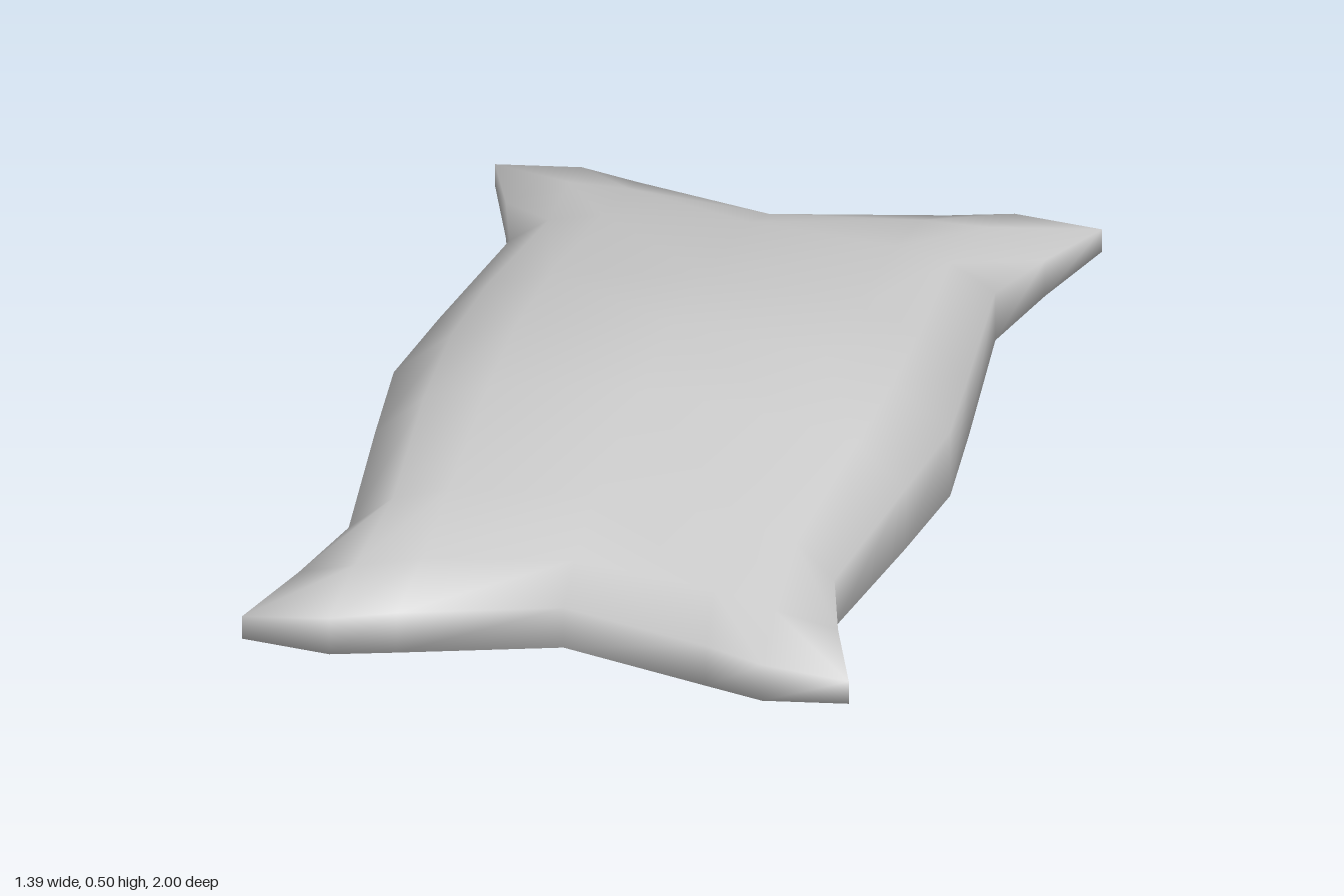
import * as THREE from 'three';

// One quarter of the pillow: rows run from the middle to the end, columns from the middle to the side.
const X = [
  [0, 0.35, 0.5, 0.63],
  [0, 0.345, 0.49, 0.6],
  [0, 0.33, 0.455, 0.55],
  [0, 0.33, 0.475, 0.61],
  [0, 0.35, 0.49, 0.687],
];
const Z = [
  [0, 0, 0, 0],
  [0.25, 0.25, 0.25, 0.25],
  [0.6, 0.6, 0.61, 0.63],
  [0.76, 0.81, 0.84, 0.81],
  [0.85, 0.945, 0.99, 0.992],
];
const TOP = [
  [0.278, 0.237, 0.19, 0.08],
  [0.26, 0.222, 0.175, 0.075],
  [0.19, 0.168, 0.135, 0.06],
  [0.118, 0.113, 0.095, 0.045],
  [0.05, 0.05, 0.045, 0.028],
];
const BOTTOM = [
  [0.205, 0.205, 0.205, 0.08],
  [0.198, 0.198, 0.195, 0.075],
  [0.135, 0.135, 0.13, 0.06],
  [0.1, 0.1, 0.09, 0.045],
  [0.05, 0.05, 0.045, 0.028],
];
const COLS = 3, ROWS = 4, W = 2 * COLS + 1, H = 2 * ROWS + 1;

function pillowGeometry() {
  const positions = [], index = [];

  // Mirror the quarter into full upper and lower faces; a slight twist and tilt lays the pillow down.
  for (const [heights, side] of [[TOP, 1], [BOTTOM, -1]]) {
    for (let j = -ROWS; j <= ROWS; j++) {
      for (let i = -COLS; i <= COLS; i++) {
        const r = Math.abs(j), c = Math.abs(i);
        const x = Math.sign(i) * X[r][c], z = Math.sign(j) * Z[r][c];
        const y = 0.228 + side * heights[r][c] + 0.042 * x - 0.015 * z;
        positions.push(x - 0.01 * z, y, z + 0.01 * x);
      }
    }
  }
  const top = (i, j) => j * W + i;
  const under = W * H;

  // Fabric faces, with diagonals mirrored between quarters
  for (let j = 0; j < H - 1; j++) {
    for (let i = 0; i < W - 1; i++) {
      const a = top(i, j), b = top(i + 1, j), c = top(i + 1, j + 1), d = top(i, j + 1);
      const tris = (i < COLS) === (j < ROWS) ? [a, d, c, a, c, b] : [a, d, b, d, c, b];
      index.push(...tris);
      index.push(...tris.map((v) => v + under).reverse());
    }
  }

  // Edge band joining both faces
  const loop = [];
  for (let i = 0; i < W - 1; i++) loop.push(top(i, H - 1));
  for (let j = H - 1; j > 0; j--) loop.push(top(W - 1, j));
  for (let i = W - 1; i > 0; i--) loop.push(top(i, 0));
  for (let j = 0; j < H - 1; j++) loop.push(top(0, j));
  loop.forEach((t0, k) => {
    const t1 = loop[(k + 1) % loop.length];
    index.push(t0 + under, t1 + under, t1, t0 + under, t1, t0);
  });

  const geometry = new THREE.BufferGeometry();
  geometry.setAttribute('position', new THREE.Float32BufferAttribute(positions, 3));
  geometry.setIndex(index);
  geometry.computeVertexNormals();
  return geometry;
}

export function createModel() {
  const group = new THREE.Group();
  group.name = 'pillow';
  const cushion = new THREE.Mesh(pillowGeometry(), new THREE.MeshStandardMaterial({ color: 0xcccccc }));
  cushion.name = 'cushion';
  group.add(cushion);
  return group;
}
